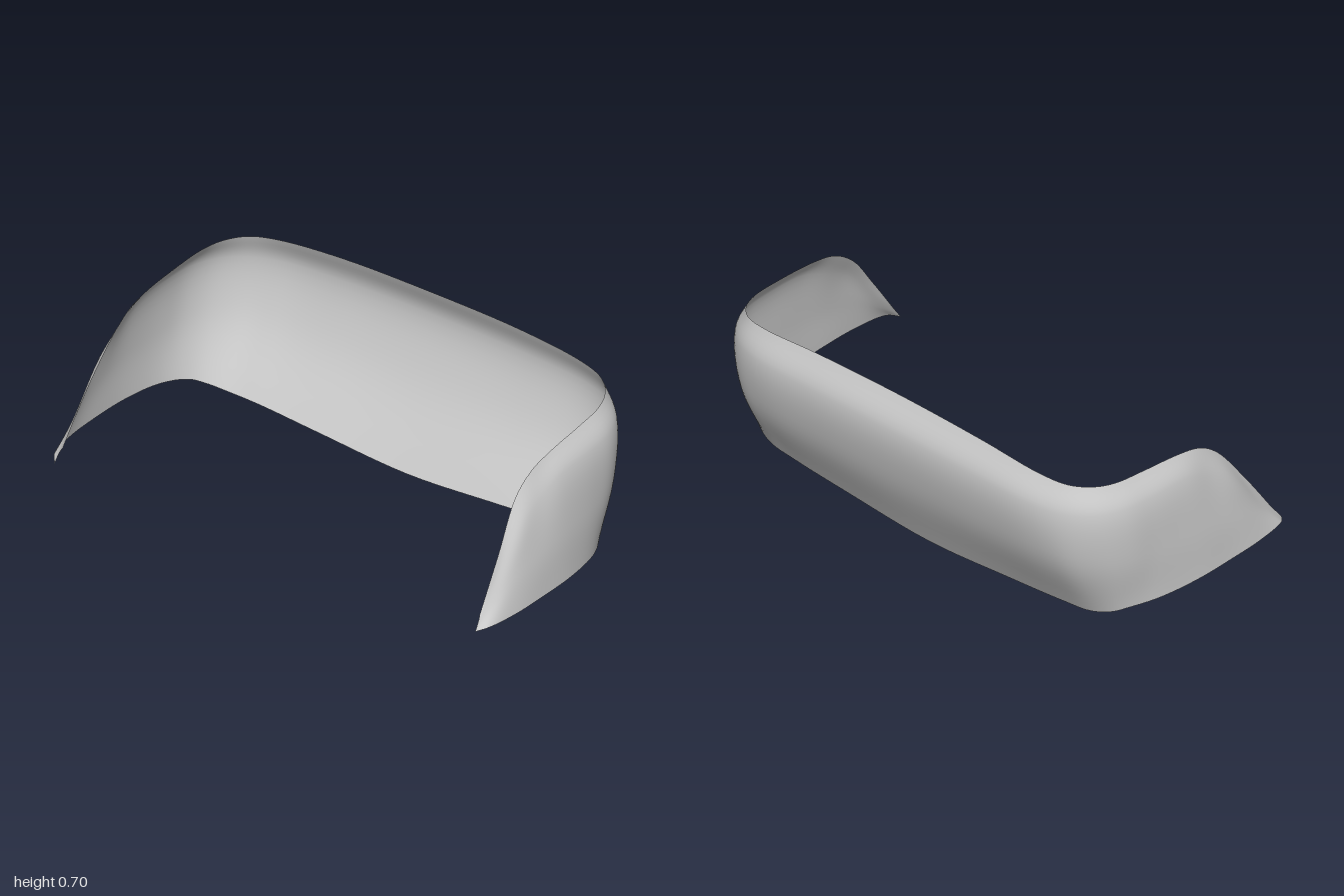
import * as THREE from 'three';

// Half rails of the wrap-around shell, from the back centre to the left front tip.
const bottomRail = [
  [0, 0.005, -0.33], [0.4, 0.03, -0.33], [0.66, 0.05, -0.328], [0.79, 0.06, -0.318],
  [0.87, 0.08, -0.29], [0.915, 0.1, -0.25], [0.965, 0.115, -0.15], [0.995, 0.125, 0.02],
  [1, 0.132, 0.2], [0.995, 0.135, 0.35], [0.972, 0.135, 0.48], [0.94, 0.125, 0.52],
];
const lowerRail = [
  [0, 0.32, -0.477], [0.4, 0.32, -0.475], [0.68, 0.32, -0.465], [0.81, 0.32, -0.435],
  [0.9, 0.33, -0.365], [0.95, 0.33, -0.275], [0.973, 0.33, -0.155], [0.985, 0.33, 0.02],
  [0.984, 0.3, 0.17], [0.973, 0.28, 0.3], [0.955, 0.2, 0.43], [0.938, 0.15, 0.503],
];
const upperRail = [
  [0, 0.57, -0.525], [0.4, 0.565, -0.522], [0.68, 0.555, -0.507], [0.81, 0.55, -0.465],
  [0.89, 0.55, -0.395], [0.935, 0.55, -0.3], [0.95, 0.55, -0.17], [0.95, 0.54, 0.02],
  [0.945, 0.49, 0.14], [0.945, 0.43, 0.25], [0.936, 0.29, 0.38], [0.936, 0.163, 0.493],
];
const topRail = [
  [0, 0.703, -0.475], [0.4, 0.695, -0.475], [0.68, 0.672, -0.465], [0.79, 0.66, -0.435],
  [0.855, 0.65, -0.37], [0.885, 0.642, -0.29], [0.895, 0.635, -0.17], [0.9, 0.62, 0.02],
  [0.9, 0.595, 0.13], [0.9, 0.53, 0.225], [0.92, 0.36, 0.355], [0.932, 0.175, 0.483],
];

// Mirror a half rail into one smooth curve from right tip to left tip.
function mirroredCurve(half) {
  const left = half.map((p) => new THREE.Vector3(...p));
  const right = half.slice(1).reverse().map(([x, y, z]) => new THREE.Vector3(-x, y, z));
  return new THREE.CatmullRomCurve3([...right, ...left]);
}

// Loft a smooth surface through the rails.
function loft(curves, columns, rows) {
  const positions = [];
  const index = [];
  for (let i = 0; i <= columns; i++) {
    const profile = new THREE.CatmullRomCurve3(curves.map((c) => c.getPoint(i / columns)));
    for (let j = 0; j <= rows; j++) positions.push(...profile.getPoint(j / rows).toArray());
  }
  for (let i = 0; i < columns; i++) {
    for (let j = 0; j < rows; j++) {
      const a = i * (rows + 1) + j;
      const b = a + rows + 1;
      index.push(a, a + 1, b, b, a + 1, b + 1);
    }
  }
  const geometry = new THREE.BufferGeometry();
  geometry.setAttribute('position', new THREE.Float32BufferAttribute(positions, 3));
  geometry.setIndex(index);
  geometry.computeVertexNormals();
  return geometry;
}

export function createModel() {
  const group = new THREE.Group();
  group.name = 'wrapAroundBackrest';
  const material = new THREE.MeshStandardMaterial({ color: 0xcccccc, side: THREE.DoubleSide });

  // Thin curved shell: back panel, rounded corners and tapering side wings
  const rails = [bottomRail, lowerRail, upperRail, topRail].map(mirroredCurve);
  const shell = new THREE.Mesh(loft(rails, 132, 18), material);
  shell.name = 'backrestShell';
  group.add(shell);
  return group;
}
